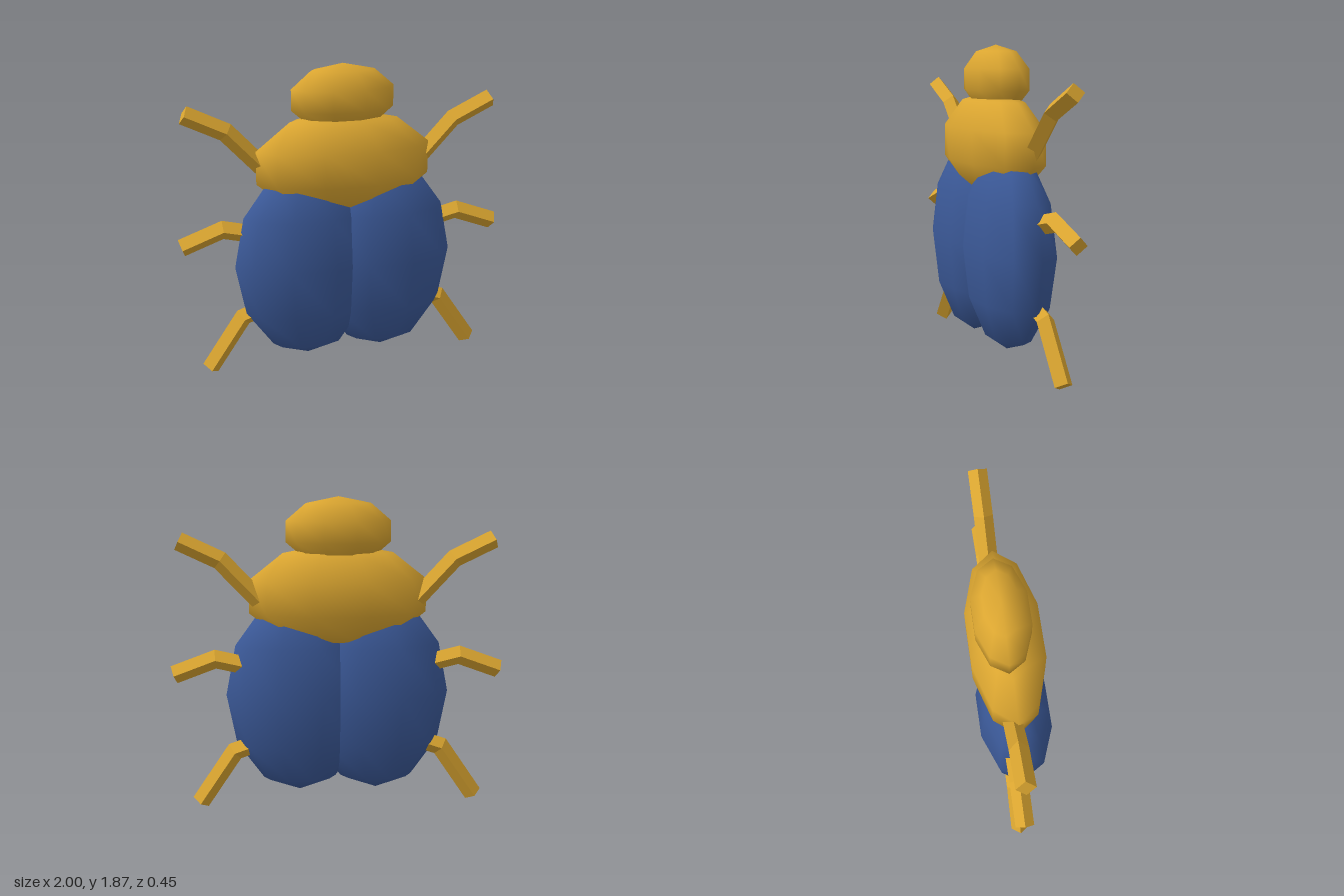
import * as THREE from 'three';

const gold = new THREE.MeshStandardMaterial({ color: 0xdaa530 });
gold.name = 'gold';
const blue = new THREE.MeshStandardMaterial({ color: 0x3b5998 });
blue.name = 'blue';

// Coarse, smoothly shaded ellipsoid
function ellipsoid(name, material, rows, center, radii) {
  const geometry = new THREE.SphereGeometry(1, 10, rows);
  geometry.scale(...radii);
  const mesh = new THREE.Mesh(geometry, material);
  mesh.name = name;
  mesh.position.set(...center);
  return mesh;
}

// Diamond-section bar with mitred bends, following a path in the xy plane
function barGeometry(path, r) {
  const points = path.map(([x, y]) => new THREE.Vector2(x, y));
  const last = points.length - 1;
  const direction = (i) => points[i + 1].clone().sub(points[i]).normalize();
  const rings = points.map((p, i) => {
    const before = direction(Math.max(i - 1, 0));
    const after = direction(Math.min(i, last - 1));
    const t = before.clone().add(after).normalize();
    const m = r / t.dot(after);
    const nx = -t.y * m, ny = t.x * m;
    return [
      [p.x + nx, p.y + ny, 0], [p.x, p.y, r],
      [p.x - nx, p.y - ny, 0], [p.x, p.y, -r],
    ];
  });

  const positions = [];
  const quad = (a, b, c, d) => positions.push(...a, ...b, ...c, ...a, ...c, ...d);
  for (let i = 0; i < last; i++) {
    for (let j = 0; j < 4; j++) {
      const k = (j + 1) % 4;
      quad(rings[i][j], rings[i][k], rings[i + 1][k], rings[i + 1][j]);
    }
  }
  quad(rings[0][0], rings[0][3], rings[0][2], rings[0][1]);
  quad(...rings[last]);

  const geometry = new THREE.BufferGeometry();
  geometry.setAttribute('position', new THREE.Float32BufferAttribute(positions, 3));
  geometry.computeVertexNormals();
  return geometry;
}

export function createModel() {
  const model = new THREE.Group();
  model.name = 'beetle';

  // Head and thorax
  model.add(ellipsoid('head', gold, 5, [0, 1.671, -0.035], [0.326, 0.203, 0.169]));
  model.add(ellipsoid('thorax', gold, 5, [0, 1.286, -0.015], [0.557, 0.32, 0.232]));

  // Legs: body end, knee, foot
  const legs = {
    FrontLeg: [[0.42, 1.215], [0.695, 1.507], [0.932, 1.62]],
    MiddleLeg: [[0.48, 0.86], [0.735, 0.92], [0.98, 0.83]],
    RearLeg: [[0.48, 0.4], [0.63, 0.348], [0.842, 0.035]],
  };

  for (const [side, label] of [[1, 'left'], [-1, 'right']]) {
    // Wing cases overlap and meet along the middle
    model.add(ellipsoid(label + 'WingCase', blue, 6,
      [side * 0.235, 0.69, 0.003], [0.44, 0.605, 0.231]));

    for (const [name, path] of Object.entries(legs)) {
      const leg = new THREE.Mesh(barGeometry(path, 0.055), gold);
      leg.name = label + name;
      leg.position.z = -0.04;
      if (side < 0) leg.rotation.y = Math.PI;
      model.add(leg);
    }
  }
  return model;
}
